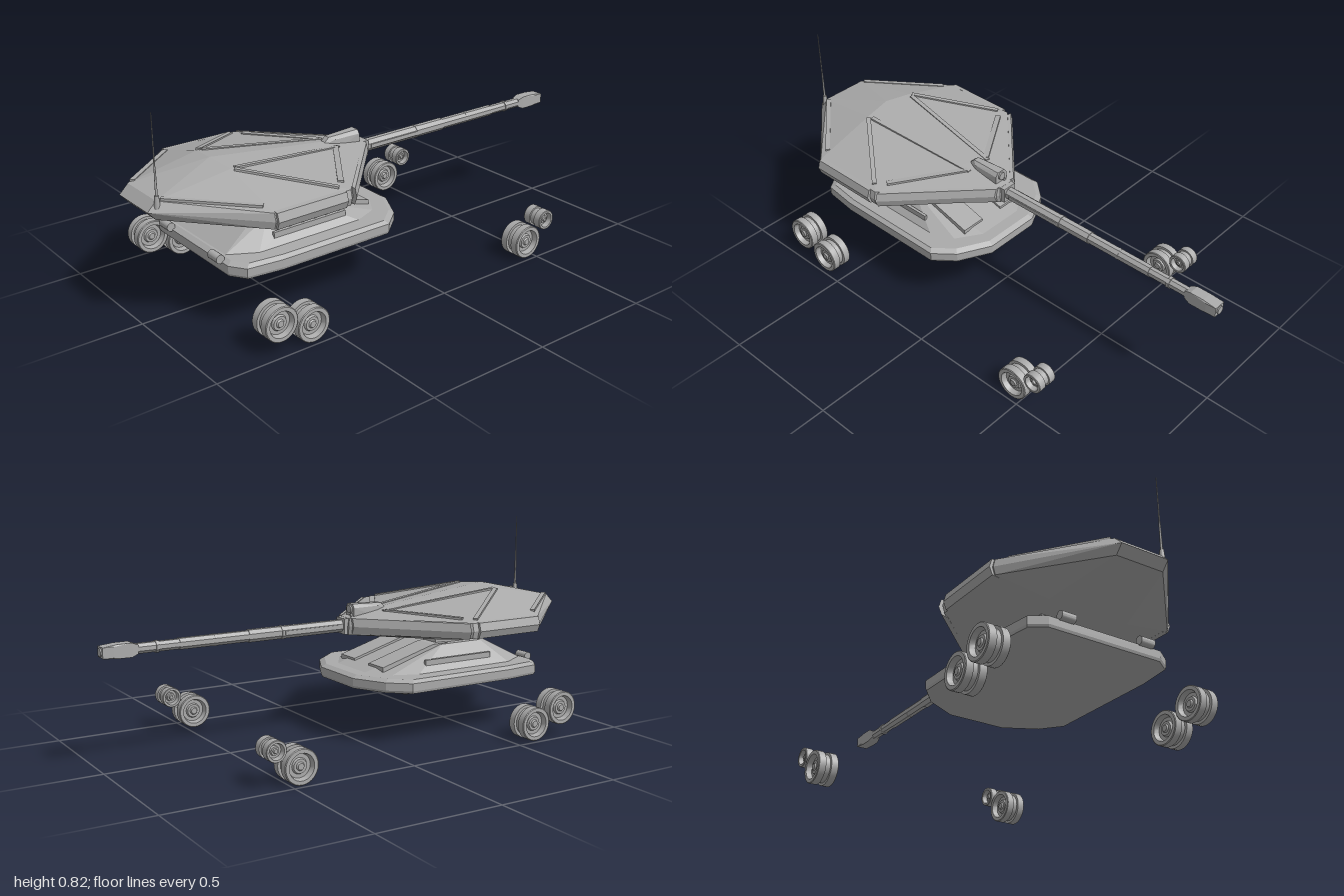
import * as THREE from 'three';
import { toCreasedNormals } from 'three/addons/utils/BufferGeometryUtils.js';
import { ConvexGeometry } from 'three/addons/geometries/ConvexGeometry.js';

const V = (x, y, z) => new THREE.Vector3(x, y, z);

export function createModel() {
  const root = new THREE.Group();
  const grey = new THREE.MeshStandardMaterial({ color: 0xaaaaaa });
  grey.name = 'hull grey';

  const add = (name, geometry, x = 0, y = 0, z = 0) => {
    const mesh = new THREE.Mesh(geometry, grey);
    mesh.name = name;
    mesh.position.set(x, y, z);
    root.add(mesh);
    return mesh;
  };
  // Convex solid; corners are mirrored across z when symmetric
  const hull = (name, pts, mirror = true) => {
    const all = pts.map(p => V(...p));
    if (mirror) pts.forEach(([x, y, z]) => { if (z) all.push(V(x, y, -z)); });
    return add(name, new ConvexGeometry(all));
  };
  // Same solid built once on each side
  const hullPair = (name, pts) => {
    hull(name, pts, false);
    hull(name, pts.map(([x, y, z]) => [x, y, -z]), false);
  };
  // Square bar between two points
  const bar = (name, p, q, w, h) => {
    const mid = p.clone().lerp(q, 0.5);
    add(name, new THREE.BoxGeometry(w, h, p.distanceTo(q)), mid.x, mid.y, mid.z).lookAt(q);
  };
  const barPair = (name, p, q, w, h) => {
    bar(name, p, q, w, h);
    bar(name, V(p.x, p.y, -p.z), V(q.x, q.y, -q.z), w, h);
  };
  // Cylinder lying along x
  const rodX = (name, x0, x1, y, r, sides, turn = 0) => {
    const g = new THREE.CylinderGeometry(r, r, x1 - x0, sides).rotateY(turn).rotateZ(-Math.PI / 2);
    return add(name, toCreasedNormals(g, 0.6), (x0 + x1) / 2, y, 0);
  };

  // Wheels: grooved tyre with a dished hub on both faces
  const half = [[0, 0.036], [0.012, 0.036], [0.016, 0.03], [0.026, 0.03], [0.03, 0.022],
    [0.044, 0.022], [0.05, 0.0425], [0.064, 0.0425], [0.067, 0.04], [0.067, 0.0115], [0.056, 0.0115]];
  const profile = [...half.map(([r, t]) => new THREE.Vector2(r, -t)),
    ...half.slice().reverse().map(([r, t]) => new THREE.Vector2(r, t))];
  const wheelGeo = toCreasedNormals(new THREE.LatheGeometry(profile, 28).rotateX(Math.PI / 2), 0.5);
  for (const [x, y, r] of [[-0.727, 0.115, 0.067], [-0.593, 0.067, 0.067], [0.462, 0.067, 0.067], [0.56, 0.137, 0.04]]) {
    for (const side of [1, -1]) {
      add('wheel', wheelGeo, x, y, side * 0.4425).scale.set(r / 0.067, r / 0.067, 1);
    }
  }

  // Base slab with a bevelled top edge
  const plan = [[0.027, 0.12], [-0.04, 0.25], [-0.12, 0.317], [-0.6, 0.317], [-0.74, 0.3], [-0.78, 0.24]];
  const level = (y, k) => plan.map(([x, z]) => [-0.38 + (x + 0.38) * k, y, z * k]);
  hull('baseSlab', [...level(0.215, 0.99), ...level(0.225, 1), ...level(0.255, 1), ...level(0.267, 0.95)]);

  // Sloped upper base
  hull('upperBase', [[-0.035, 0.265, 0.1], [-0.1, 0.265, 0.2], [-0.2, 0.265, 0.24], [-0.65, 0.265, 0.24],
    [-0.755, 0.265, 0.18], [-0.35, 0.355, 0.13], [-0.37, 0.355, 0.16], [-0.56, 0.355, 0.16], [-0.59, 0.355, 0.13]]);
  const wedge = [];
  for (const z of [0.052, 0.155]) {
    wedge.push([-0.09, 0.272, z], [-0.09, 0.29, z], [-0.33, 0.358, z], [-0.4, 0.358, z], [-0.4, 0.3, z]);
  }
  hullPair('frontWedge', wedge);
  barPair('baseSideStrip', V(-0.57, 0.302, 0.212), V(-0.25, 0.302, 0.212), 0.012, 0.022);
  for (const side of [1, -1]) {
    add('turretMount', new THREE.BoxGeometry(0.23, 0.05, 0.085), -0.475, 0.37, side * 0.0875);
    add('rearRoller', toCreasedNormals(new THREE.CylinderGeometry(0.017, 0.017, 0.06, 16).rotateX(Math.PI / 2), 0.6),
      -0.785, 0.267, side * 0.17);
  }

  // Faceted turret shell
  const A = V(-0.675, 0.552, 0.115), N = V(-0.01, 0.475, 0.035);
  const S0 = V(-0.675, 0.475, 0.38), S1 = V(-0.35, 0.475, 0.38), R = V(-0.965, 0.503, 0.1);
  hull('turretShell', [[-0.69, 0.565, 0], [-0.18, 0.505, 0], A.toArray(), N.toArray(), S0.toArray(), S1.toArray(),
    R.toArray(), [-1, 0.468, 0.1], [-0.97, 0.435, 0.1],
    [-0.675, 0.444, 0.388], [-0.35, 0.444, 0.388], [-0.675, 0.415, 0.38], [-0.35, 0.415, 0.38],
    [-0.69, 0.378, 0.17], [-0.35, 0.378, 0.17], [-0.005, 0.41, 0.035], [-0.005, 0.444, 0.04]]);

  // Armour panels around the belt
  const panel = (x0, z0, x1, z1) => [[x0, z0], [x1, z1]].flatMap(([x, z]) =>
    [[x, 0.478, z - 0.03], [x, 0.476, z - 0.01], [x, 0.444, z], [x, 0.415, z - 0.012], [x, 0.411, z - 0.04]]);
  hullPair('sidePanel', panel(-0.67, 0.4, -0.375, 0.4));
  hullPair('frontPanel', panel(-0.335, 0.395, -0.015, 0.06));

  // Raised ribs along the facet edges
  const mix = (a, P, b, Q, c = 0, T = P) => V(0, 0, 0).addScaledVector(P, a).addScaledVector(Q, b).addScaledVector(T, c);
  barPair('roofRib', mix(0.97, A, 0.03, N), mix(0.22, A, 0.78, N), 0.018, 0.012);
  barPair('roofRib', mix(0.97, A, 0.03, S1), mix(0.1, A, 0.9, S1), 0.018, 0.012);
  barPair('roofRib', mix(0.24, A, 0.76, N), mix(0.1, A, 0.1, N, 0.8, S1), 0.022, 0.014);
  barPair('rearRib', mix(0.06, A, 0.94, R), mix(0.14, A, 0.82, S0, 0.04, R), 0.018, 0.012);

  // Sight housing on the roof
  hull('sightHousing', [[-0.2, 0.495, 0.012], [-0.17, 0.522, 0.012], [-0.035, 0.527, 0.018], [-0.035, 0.512, 0.03],
    [-0.035, 0.47, 0.03], [-0.15, 0.47, 0.03], [-0.15, 0.512, 0.026]]);
  rodX('sightLens', -0.05, -0.028, 0.505, 0.016, 20);
  rodX('sightLamp', -0.05, -0.028, 0.483, 0.006, 12).position.z = -0.014;

  // Gun barrel in stepped octagonal sections
  hull('gunMantlet', [[-0.08, 0.476, 0.034], [-0.08, 0.408, 0.034], [0.01, 0.474, 0.03], [0.01, 0.412, 0.03]]);
  const t = Math.PI / 8;
  rodX('barrelRoot', 0, 0.42, 0.443, 0.0255, 8, t);
  rodX('barrelMiddle', 0.42, 0.7, 0.443, 0.0225, 8, t);
  rodX('barrelFront', 0.7, 0.9, 0.443, 0.02, 8, t);
  for (const x of [0.27, 0.55, 0.78]) rodX('barrelBand', x, x + 0.012, 0.443, x < 0.4 ? 0.0275 : 0.0235, 8, t);
  barPair('barrelStrip', V(0.03, 0.443, 0.023), V(0.27, 0.443, 0.023), 0.008, 0.016);
  hull('muzzle', [[0.86, 0.459, 0.018], [0.86, 0.427, 0.018], [0.885, 0.469, 0.022], [0.885, 0.417, 0.022],
    [0.94, 0.469, 0.022], [0.94, 0.417, 0.022], [0.955, 0.463, 0.026], [0.955, 0.423, 0.026],
    [0.995, 0.463, 0.024], [0.995, 0.423, 0.024]]);
  rodX('muzzleBore', 0.98, 1, 0.443, 0.016, 20);

  // Aerial at the rear
  add('aerialFoot', new THREE.CylinderGeometry(0.008, 0.012, 0.05, 10), -0.965, 0.5, 0.107);
  add('aerialBase', new THREE.CylinderGeometry(0.0035, 0.005, 0.13, 8), -0.965, 0.565, 0.107);
  add('aerialRod', new THREE.CylinderGeometry(0.0015, 0.003, 0.2, 8), -0.965, 0.72, 0.107);

  return root;
}
